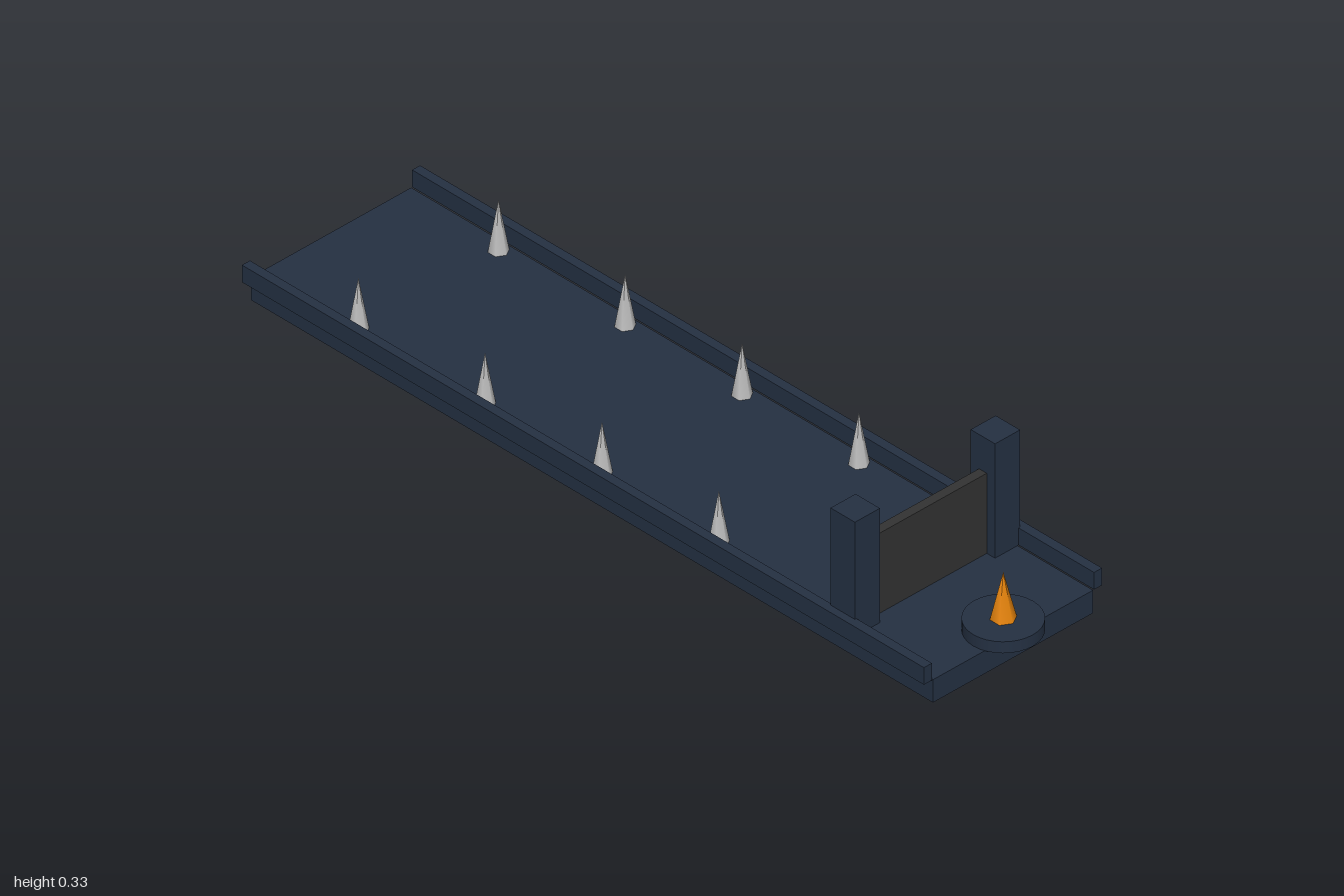
import * as THREE from 'three';

const U = 1 / 36; // one building unit

export function createModel() {
  const model = new THREE.Group();
  model.name = 'spikedBridge';

  const material = (name, color) => {
    const m = new THREE.MeshStandardMaterial({ color });
    m.name = name;
    return m;
  };
  const slate = material('dark slate', 0x243042);
  const charcoal = material('charcoal', 0x323232);
  const silver = material('silver', 0xbdbdbd);
  const orange = material('orange', 0xe8850c);

  // Places a part by the centre of its base, in building units
  const add = (name, geometry, mat, x, y, z, height) => {
    geometry.scale(U, U, U);
    const mesh = new THREE.Mesh(geometry, mat);
    mesh.name = name;
    mesh.position.set(x * U, (y + height / 2) * U, (z - 1) * U);
    model.add(mesh);
  };
  const box = (name, w, h, d, mat, x, y, z) =>
    add(name, new THREE.BoxGeometry(w, h, d), mat, x, y, z, h);

  // Long deck
  box('deck', 16, 2, 70, slate, 0, 0, 0);

  // Side rails and gate posts
  for (const [side, s] of [['left', 1], ['right', -1]]) {
    box(side + 'Rail', 0.8, 1.5, 70, slate, s * 8.5, 2, 0);
    box(side + 'GatePost', 2.5, 10, 2.5, slate, s * 7, 2, 26);

    // Row of six-sided spikes
    [12, 0, -12, -25].forEach((z, i) =>
      add(side + 'Spike' + (i + 1), new THREE.ConeGeometry(0.8, 4.5, 6), silver, s * 7, 2, z, 4.5));
  }

  // Gate panel between the posts
  box('gatePanel', 14, 7, 0.8, charcoal, 0, 2, 26);

  // Round pedestal with the orange flame at the front end
  add('pedestal', new THREE.CylinderGeometry(3, 3, 1, 32), slate, 0, 2, 34, 1);
  add('flame', new THREE.ConeGeometry(1, 4, 6), orange, 0, 3, 34, 4);

  return model;
}
